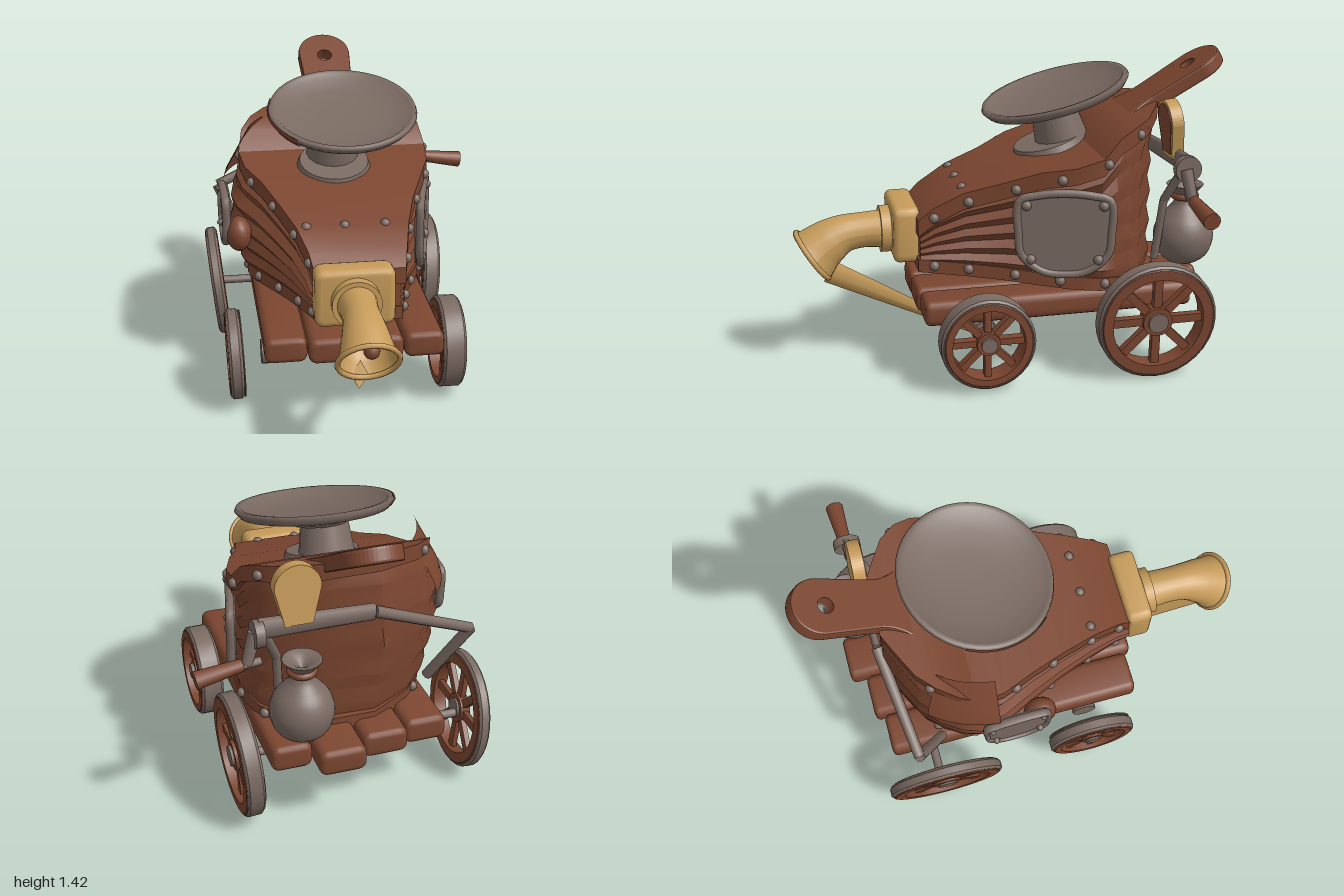
import * as THREE from 'three';
import { toCreasedNormals } from 'three/addons/utils/BufferGeometryUtils.js';

const mat = (name, color, side = THREE.FrontSide) => {
  const m = new THREE.MeshStandardMaterial({ color, side });
  m.name = name;
  return m;
};
const V = (x, y, z) => new THREE.Vector3(x, y, z);
const V2 = pts => pts.map(p => new THREE.Vector2(...p));

// Body stations, front to back: z, centre x, half width, top y
const STATIONS = [
  [0.47, -0.04, 0.2, 0.74], [0.4, -0.04, 0.215, 0.8], [0.27, -0.045, 0.25, 0.87], [0.1, -0.05, 0.305, 0.92],
  [-0.05, -0.05, 0.37, 0.975], [-0.2, -0.055, 0.43, 1.0], [-0.32, -0.06, 0.445, 1.035], [-0.4, -0.06, 0.425, 1.12],
  [-0.48, -0.05, 0.385, 1.16], [-0.55, -0.045, 0.32, 1.18], [-0.61, -0.04, 0.21, 1.2], [-0.65, -0.035, 0.13, 1.21],
];
const bottomY = z => 0.495 + z * 0.1;
const stationAt = z => {
  let i = 0;
  while (i < STATIONS.length - 2 && STATIONS[i + 1][0] > z) i++;
  const a = STATIONS[i], b = STATIONS[i + 1], t = (z - a[0]) / (b[0] - a[0]);
  return a.map((v, k) => v + (b[k] - v) * t);
};

function fromGrid(pos, idx, crease) {
  const g = new THREE.BufferGeometry();
  g.setAttribute('position', new THREE.Float32BufferAttribute(pos, 3));
  g.setIndex(idx);
  return toCreasedNormals(g, crease);
}

// Board of rectangular section; each row is z, cx, half width, top, bottom
function board(rows) {
  const pos = [], idx = [], n = rows.length;
  rows.forEach(([z, cx, w, t, b]) => pos.push(cx + w, t, z, cx - w, t, z, cx - w, b, z, cx + w, b, z));
  for (let i = 0; i < n - 1; i++) for (let k = 0; k < 4; k++) {
    const a = i * 4 + k, b = i * 4 + (k + 1) % 4, c = b + 4, d = a + 4;
    idx.push(a, d, c, a, c, b);
  }
  const e = (n - 1) * 4;
  idx.push(0, 1, 2, 0, 2, 3, e, e + 2, e + 1, e, e + 3, e + 2);
  return fromGrid(pos, idx, 0.5);
}

// Zigzag leather wall wrapped around the outline, flatter at the back
function pleats() {
  const rows = 10, pos = [], idx = [];
  const cols = [...STATIONS.map(s => [1, s]), ...[...STATIONS].reverse().map(s => [-1, s])];
  for (const [side, [z, cx, w, top]] of cols) for (let r = 0; r <= rows; r++) {
    const v = r / rows, bulge = side < 0 ? 0.12 * Math.sin(Math.PI * Math.pow(v, 1.2)) : -0.03;
    const depth = z > -0.3 ? 0.085 : 0.04;
    const f = 0.99 + bulge - (r % 2 ? 0 : depth);
    const lo = bottomY(z), hi = top - 0.06;
    pos.push(cx + side * w * f, lo + (hi - lo) * v, z < -0.3 ? -0.3 + (z + 0.3) * (f - 0.02) : z - 0.01);
  }
  const n = cols.length, m = rows + 1;
  for (let j = 0; j < n; j++) for (let r = 0; r < rows; r++) {
    const a = j * m + r, b = ((j + 1) % n) * m + r;
    idx.push(a, b, b + 1, a, b + 1, a + 1);
  }
  return fromGrid(pos, idx, 0.6);
}

export function createModel() {
  const root = new THREE.Group();
  const brown = mat('brown wood', 0x7b4630, THREE.DoubleSide);
  const gold = mat('brass', 0xc69b5a, THREE.DoubleSide), grey = mat('grey iron', 0x7a6a62, THREE.DoubleSide);

  const add = (name, geo, material, p = [0, 0, 0], r = [0, 0, 0], parent = root) => {
    const m = new THREE.Mesh(geo, material);
    m.name = name;
    m.position.set(...p);
    m.rotation.set(...r);
    parent.add(m);
    return m;
  };
  const rod = (name, a, b, r0, r1, material, sides = 12) => {
    const d = b.clone().sub(a);
    const m = add(name, new THREE.CylinderGeometry(r1, r0, d.length(), sides), material, a.clone().add(b).multiplyScalar(0.5).toArray());
    m.quaternion.setFromUnitVectors(V(0, 1, 0), d.normalize());
    return m;
  };
  const ring = (ri, ro, h, e = 0.01) => toCreasedNormals(new THREE.LatheGeometry(
    V2([[ri, -h], [ro - e, -h], [ro, -h + e], [ro, h - e], [ro - e, h], [ri, h], [ri, -h]]), 32), 0.6);
  // Slab with rounded corners and softened edges
  const slab = (w, h, d, b = 0.018) => {
    const s = new THREE.Shape(), x = w / 2 - b, y = h / 2 - b, c = b * 0.6;
    s.moveTo(-x + c, -y).lineTo(x - c, -y).quadraticCurveTo(x, -y, x, -y + c).lineTo(x, y - c).quadraticCurveTo(x, y, x - c, y)
      .lineTo(-x + c, y).quadraticCurveTo(-x, y, -x, y - c).lineTo(-x, -y + c).quadraticCurveTo(-x, -y, -x + c, -y);
    const g = new THREE.ExtrudeGeometry(s, { depth: d - 2 * b, bevelThickness: b, bevelSize: b, bevelSegments: 3, curveSegments: 4 });
    return toCreasedNormals(g.translate(0, 0, -d / 2 + b), 0.6);
  };

  // Bellows
  add('topBoard', board(STATIONS.map(([z, c, w, t]) => [z, c, w, t, t - 0.075])), brown);
  add('bottomBoard', board(STATIONS.map(([z, c, w]) => [z, c, w * 0.94, bottomY(z) + 0.015, bottomY(z) - 0.045])), brown);
  add('leatherPleats', pleats(), brown);

  // Handle with hanging hole
  const hs = new THREE.Shape();
  hs.moveTo(-0.24, -0.1).quadraticCurveTo(-0.11, 0, -0.105, 0.12).lineTo(-0.12, 0.385).absarc(0, 0.385, 0.12, Math.PI, 0, true)
    .lineTo(0.105, 0.12).quadraticCurveTo(0.11, 0, 0.24, -0.1).closePath();
  hs.holes.push(new THREE.Path().absarc(0, 0.36, 0.036, 0, Math.PI * 2, true));
  add('handle', new THREE.ExtrudeGeometry(hs, { depth: 0.045, bevelSize: 0.008, bevelThickness: 0.012, bevelSegments: 2 }),
    brown, [-0.03, 1.125, -0.55], [-Math.PI / 2 + 0.53, 0, 0]);

  // Rivets
  const rivetGeo = new THREE.SphereGeometry(0.023, 12, 8);
  for (const z of [0.4, 0.25, 0.05, -0.14, -0.34, -0.5]) for (const s of [-1, 1]) {
    const [, c, w, t] = stationAt(z);
    add('topRivet', rivetGeo, grey, [c + s * w, t - 0.045, z]);
    add('bottomRivet', rivetGeo, grey, [c + s * w * 0.94, bottomY(z) - 0.01, z]);
  }
  for (const x of [-0.25, -0.08, 0.1]) add('frontRivet', rivetGeo, grey, [x, 0.865, 0.26]);

  // Nozzle with flared elbow and spike
  add('nozzleBlock', slab(0.35, 0.26, 0.12, 0.026), gold, [-0.075, 0.65, 0.51]);
  add('nozzleFlange', new THREE.CylinderGeometry(0.108, 0.108, 0.05, 28), gold, [-0.075, 0.64, 0.59], [Math.PI / 2, 0, 0]);
  const path = new THREE.CatmullRomCurve3([V(-0.075, 0.64, 0.57), V(-0.075, 0.64, 0.7), V(-0.075, 0.625, 0.79), V(-0.075, 0.58, 0.87), V(-0.075, 0.535, 0.925)]);
  const horn = new THREE.TubeGeometry(path, 24, 0.085, 24), hp = horn.attributes.position;
  for (let i = 0; i < hp.count; i++) {
    const u = horn.attributes.uv.getX(i), c = path.getPointAt(u);
    const f = 1.08 - 0.13 * Math.sin(Math.PI * Math.min(1, u * 1.4)) + 0.45 * Math.pow(u, 4);
    const p = V(0, 0, 0).fromBufferAttribute(hp, i).sub(c).multiplyScalar(f).add(c);
    hp.setXYZ(i, p.x, p.y, p.z);
  }
  horn.computeVertexNormals();
  add('nozzleHorn', horn, gold);
  add('hornLip', new THREE.TorusGeometry(0.128, 0.012, 8, 28), gold, [-0.075, 0.535, 0.925], [0.58, 0, 0]);
  add('hornPlug', new THREE.SphereGeometry(0.035, 12, 8), brown, [-0.06, 0.575, 0.91]);
  rod('spike', V(-0.1, 0.44, 0.85), V(-0.03, 0.01, 0), 0.058, 0.001, gold, 4).scale.x = 0.65;

  // Dish on a pedestal, with a brown patch around part of its rim
  const tilt = [0.27, 0, 0];
  const dish = [[0.001, -0.045], [0.2, -0.04], [0.325, -0.016], [0.345, 0.01], [0.338, 0.026], [0.318, 0.022], [0.3, 0.004], [0.22, -0.018], [0.12, -0.028], [0.001, -0.03]];
  add('dish', new THREE.LatheGeometry(V2(dish), 48), grey, [-0.025, 1.245, -0.2], tilt);
  add('dishPatch', new THREE.LatheGeometry(V2([[0.2, -0.045], [0.33, -0.02], [0.35, 0.008], [0.346, 0.024]]), 16, -1.95, 1.2), brown, [-0.025, 1.245, -0.2], tilt);
  add('pedestalBase', new THREE.CylinderGeometry(0.16, 0.175, 0.04, 32), grey, [-0.07, 1.005, -0.18], tilt);
  add('pedestal', new THREE.CylinderGeometry(0.105, 0.128, 0.17, 16), grey, [-0.07, 1.085, -0.225], tilt);
  for (const i of [0, 1]) add('collar', new THREE.CylinderGeometry(0.13 - i * 0.03, 0.12, 0.012, 24), grey, [-0.05, 1.17 + i * 0.022, -0.2], tilt);

  // Cart planks: x, width, front z, back z
  for (const [x, w, f, b] of [[-0.365, 0.19, 0.45, -0.74], [-0.165, 0.205, 0.48, -0.78], [0.05, 0.21, 0.48, -0.85], [0.25, 0.18, 0.47, -0.76]])
    add('plank', slab(w, 0.117, f - b, 0.024), brown, [x, 0.358, (f + b) / 2]);

  // Wheels and axles
  const wheel = (name, x, y, z, r, half, lean) => {
    const g = new THREE.Group();
    g.name = name;
    g.position.set(x, y, z);
    g.rotation.z = Math.PI / 2 + lean;
    root.add(g);
    const spokes = (label, h, yy, m) => {
      for (let i = 0; i < 8; i++) {
        const a = i * Math.PI / 4;
        add(label, new THREE.BoxGeometry(r * 0.62, h, r * 0.14), m, [Math.cos(a) * r * 0.48, yy, -Math.sin(a) * r * 0.48], [0, a, 0], g);
      }
    };
    add('rim', ring(r * 0.77, r - 0.008, half), brown, [0, 0, 0], [0, 0, 0], g);
    add('tyre', ring(r - 0.02, r, half - 0.004), grey, [0, 0, 0], [0, 0, 0], g);
    add('hub', new THREE.CylinderGeometry(r * 0.25, r * 0.25, half * 1.5, 16), brown, [0, 0, 0], [0, 0, 0], g);
    add('hubCap', new THREE.CylinderGeometry(r * 0.17, r * 0.17, half * 2.1, 12), grey, [0, 0, 0], [0, 0, 0], g);
    spokes('spoke', half * 0.8, 0, brown);
    return { g, spokes };
  };
  wheel('frontLeftWheel', 0.403, 0.243, 0.21, 0.213, 0.055, -0.02);
  wheel('rearLeftWheel', 0.432, 0.288, -0.56, 0.275, 0.043, -0.07);
  wheel('rearRightWheel', -0.62, 0.29, -0.53, 0.27, 0.03, 0.1);
  // The front right wheel has an iron inner face
  const iron = wheel('frontRightWheel', -0.582, 0.24, 0.2, 0.207, 0.033, 0.03);
  add('innerRim', ring(0.157, 0.2, 0.003, 0.001), grey, [0, -0.035, 0], [0, 0, 0], iron.g);
  iron.spokes('innerSpoke', 0.008, -0.016, grey);
  rod('rearAxle', V(-0.6, 0.28, -0.55), V(0.42, 0.28, -0.56), 0.02, 0.02, grey);
  rod('frontAxle', V(-0.38, 0.28, 0.2), V(0.25, 0.28, 0.2), 0.02, 0.02, grey);
  for (const [a, b] of [[-0.46, -0.375], [0.23, 0.315]]) rod('axleStub', V(a, 0.243, 0.2), V(b, 0.243, 0.2), 0.057, 0.057, grey, 16);

  // Shield plates on both flanks
  const plate = (name, p, ry, s) => {
    const g = new THREE.Group();
    g.name = name;
    g.position.set(...p);
    g.rotation.y = ry;
    g.scale.set(s, s, 1);
    root.add(g);
    const curve = new THREE.CatmullRomCurve3([[-0.2, 0.15], [-0.12, 0.175], [0, 0.185], [0.12, 0.175], [0.2, 0.15], [0.205, 0], [0.19, -0.1],
      [0.1, -0.175], [0, -0.19], [-0.1, -0.175], [-0.19, -0.1], [-0.205, 0]].map(q => V(q[0], q[1], 0)), true);
    const shape = new THREE.Shape(V2(curve.getPoints(48).map(q => [q.x, q.y])));
    add('plateFace', new THREE.ExtrudeGeometry(shape, { depth: 0.03, bevelEnabled: false }), grey, [0, 0, -0.015], [0, 0, 0], g);
    add('plateRim', new THREE.TubeGeometry(curve, 64, 0.019, 8, true), grey, [0, 0, 0.01], [0, 0, 0], g);
    for (const [x, y] of [[-0.17, 0.13], [0.17, 0.13], [-0.15, -0.12], [0.15, -0.12]]) add('plateRivet', rivetGeo, grey, [x, y, 0.015], [0, 0, 0], g);
  };
  plate('leftPlate', [0.342, 0.7, -0.155], Math.PI / 2 - 0.25, 1);
  plate('rightPlate', [-0.58, 0.785, -0.17], -Math.PI / 2 + 0.03, 0.68);
  add('leatherLump', new THREE.SphereGeometry(0.075, 14, 10), brown, [-0.53, 0.73, -0.05]).scale.set(0.8, 1.1, 1);
  // Curved strap hanging off the right shoulder
  add('looseStrap', new THREE.LatheGeometry(V2([[0.54, 0.92], [0.525, 0.97], [0.47, 1.07], [0.42, 1.16]]), 12, -2.25, 0.6), brown, [-0.05, 0, -0.2]);

  // Crank arm, linkage and grip
  const link = [V(0.38, 0.99, -0.7), V(-0.13, 0.97, -0.68), V(-0.6, 0.77, -0.62), V(-0.46, 0.48, -0.5)];
  rod('linkageBar', link[0], link[1], 0.05, 0.04, grey, 8).scale.z = 0.45;
  for (const i of [1, 2]) rod('linkage', link[i], link[i + 1], 0.026, 0.024, grey, 8);
  add('crankDisc', new THREE.CylinderGeometry(0.06, 0.06, 0.04, 20), grey, [0.38, 0.97, -0.7], [0, 0, Math.PI / 2]);
  rod('crankArm', V(0.39, 0.97, -0.69), V(0.43, 0.84, -0.71), 0.03, 0.024, grey);
  rod('crankPin', V(0.37, 0.845, -0.71), V(0.47, 0.835, -0.71), 0.018, 0.018, grey);
  rod('crankGrip', V(0.45, 0.84, -0.71), V(0.65, 0.81, -0.72), 0.028, 0.04, brown, 10);

  // Arched scoop with wooden inset
  const arch = (w, h) => {
    const s = new THREE.Shape();
    s.moveTo(-w * 0.6, 0).lineTo(w * 0.6, 0).lineTo(w, h - w).absarc(0, h - w, w, 0, Math.PI, false).closePath();
    return s;
  };
  add('scoop', new THREE.ExtrudeGeometry(arch(0.1, 0.26), { depth: 0.055, bevelEnabled: false }), gold, [0.21, 0.99, -0.72], [0.1, 0, 0]);
  add('scoopInset', new THREE.ExtrudeGeometry(arch(0.082, 0.225), { depth: 0.008, bevelEnabled: false }), brown, [0.21, 1.005, -0.667], [0.1, 0, 0]);

  // Tied sack and its bracket
  const sack = [[0.001, -0.14], [0.06, -0.125], [0.115, -0.08], [0.138, 0], [0.12, 0.07], [0.085, 0.115], [0.055, 0.15], [0.045, 0.185], [0.06, 0.215], [0.085, 0.245], [0.05, 0.235], [0.001, 0.2]];
  const sackCurve = new THREE.SplineCurve(V2(sack)).getPoints(36).map(p => [Math.max(p.x, 0.0005), p.y]);
  add('sack', new THREE.LatheGeometry(V2(sackCurve), 30), grey, [0.21, 0.605, -0.755]);
  add('sackTie', new THREE.TorusGeometry(0.05, 0.016, 8, 20), brown, [0.21, 0.795, -0.755], [Math.PI / 2, 0, 0]);
  const bracket = [V(0.26, 0.52, -0.6), V(0.28, 0.8, -0.63), V(0.35, 0.96, -0.69)];
  for (const i of [0, 1]) rod('sackBracket', bracket[i], bracket[i + 1], 0.02, 0.02, grey, 8);
  return root;
}
